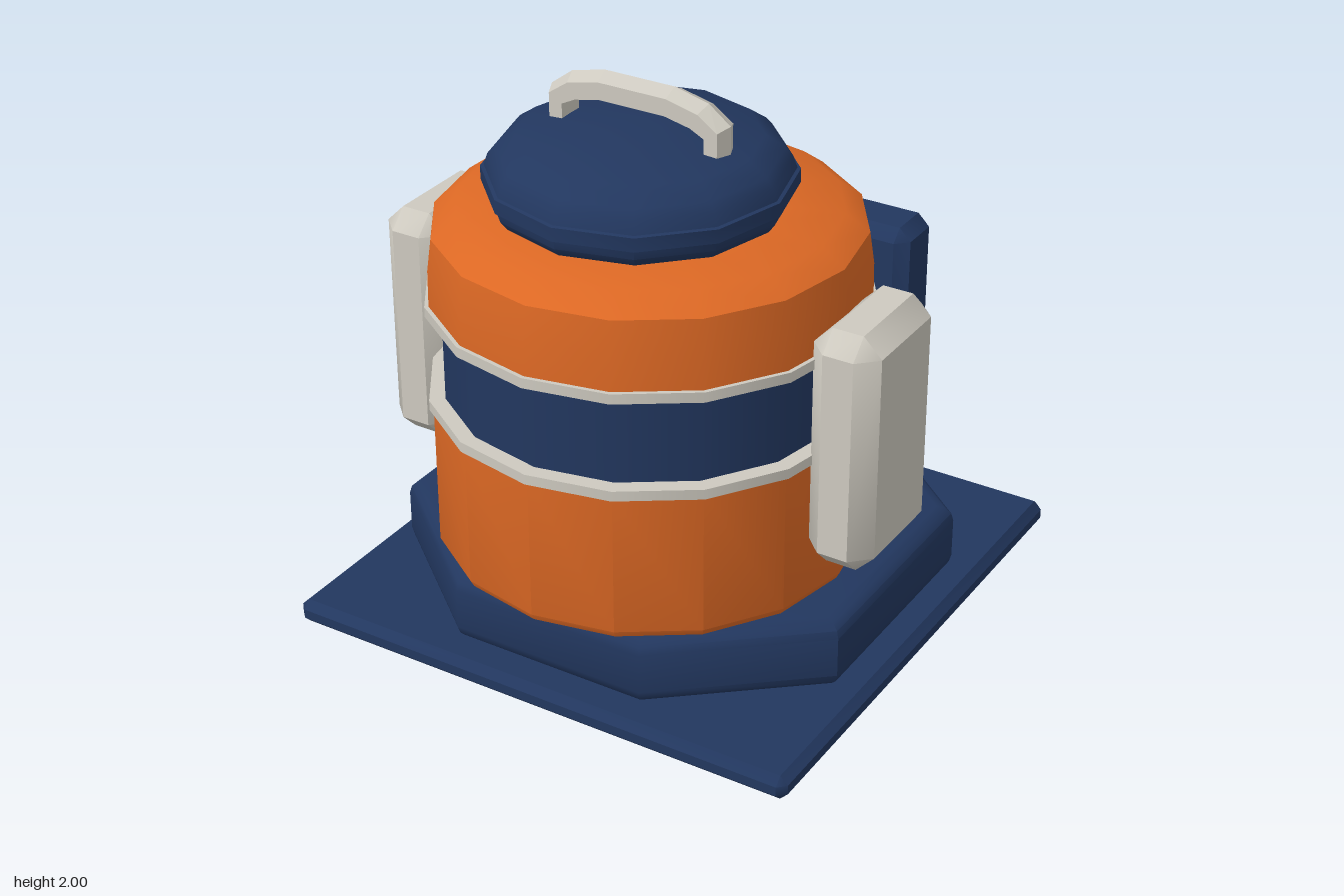
import * as THREE from 'three';
import { toCreasedNormals } from 'three/addons/utils/BufferGeometryUtils.js';
import { ConvexGeometry } from 'three/addons/geometries/ConvexGeometry.js';

const material = (name, color) => {
  const m = new THREE.MeshStandardMaterial({ color });
  m.name = name;
  return m;
};

// Box with one chamfer along every edge
function chamferBox(w, h, d, b) {
  const half = [w / 2, h / 2, d / 2];
  const points = [];
  for (let axis = 0; axis < 3; axis++)
    for (const sx of [-1, 1]) for (const sy of [-1, 1]) for (const sz of [-1, 1]) {
      const p = half.map((v, k) => (k === axis ? v : v - b));
      points.push(new THREE.Vector3(sx * p[0], sy * p[1], sz * p[2]));
    }
  return toCreasedNormals(new ConvexGeometry(points), 0.7);
}

// Turned part from [radius, height] pairs, bottom to top
function turned(profile, sides) {
  const points = profile.map(([r, y]) => new THREE.Vector2(r, y));
  return toCreasedNormals(new THREE.LatheGeometry(points, sides), 0.6);
}

// Arched grip swept between an outer and an inner path, with a ridged section
function gripGeometry() {
  const mirror = (half) => [...half, ...half.slice().reverse().map(([x, y]) => [-x, y])];
  const outer = mirror([[-0.335, 1.79], [-0.335, 1.91], [-0.255, 1.97], [-0.13, 2.0]]);
  const inner = mirror([[-0.265, 1.79], [-0.265, 1.87], [-0.215, 1.895], [-0.12, 1.915]]);
  const section = [[0, 0], [0.3, 0.05], [1, 0.05], [1, -0.05], [0.3, -0.05]];
  const rings = outer.map(([x, y], i) => section.map(([t, z]) => [
    x + (inner[i][0] - x) * t, y + (inner[i][1] - y) * t, z]));
  const pos = [];
  for (let i = 0; i < rings.length - 1; i++)
    for (let j = 0; j < section.length; j++) {
      const k = (j + 1) % section.length;
      const a = rings[i][j], b = rings[i + 1][j], c = rings[i + 1][k], d = rings[i][k];
      pos.push(...a, ...d, ...c, ...a, ...c, ...b);
    }
  const g = new THREE.BufferGeometry();
  g.setAttribute('position', new THREE.Float32BufferAttribute(pos, 3));
  g.computeVertexNormals();
  return g;
}

// Eight-sided plinth with rounded rims
function plinthGeometry() {
  const bevel = 0.055;
  const corners = [[0.865, -0.42], [0.865, 0.42], [0.36, 0.84], [-0.36, 0.84],
    [-0.865, 0.42], [-0.865, -0.42], [-0.36, -0.84], [0.36, -0.84]];
  const shape = new THREE.Shape(corners.map(([x, y]) => new THREE.Vector2(x, y)));
  const g = new THREE.ExtrudeGeometry(shape, {
    depth: 0.145, bevelThickness: bevel, bevelSize: bevel, bevelOffset: -bevel, bevelSegments: 3,
  });
  g.rotateX(-Math.PI / 2);
  return toCreasedNormals(g, 0.85);
}

export function createModel() {
  const model = new THREE.Group();
  const navy = material('navy', 0x22375f);
  const orange = material('orange', 0xdc6824);
  const grey = material('warm grey', 0xcdc9bf);

  const add = (name, geometry, mat, x, y, z) => {
    const mesh = new THREE.Mesh(geometry, mat);
    mesh.name = name;
    mesh.position.set(x, y, z);
    model.add(mesh);
    return mesh;
  };
  const bodyZ = 0.23, lidZ = 0.285;

  // Base
  add('groundPlate', chamferBox(1.93, 0.09, 1.94, 0.028), navy, 0, 0.045, 0.03);
  add('plinth', plinthGeometry(), navy, 0, 0.135, 0.05);
  add('backPanel', chamferBox(0.874, 1.09, 0.235, 0.045), navy, 0, 0.565, -0.8825);

  // Drum body
  add('lowerBody', turned([[0, 0.33], [0.725, 0.335], [0.738, 0.36], [0.738, 0.88], [0, 0.88]], 16),
    orange, 0, 0, bodyZ);
  add('bodyBand', new THREE.CylinderGeometry(0.697, 0.697, 0.36, 16), navy, 0, 1.06, bodyZ);
  add('upperBody', turned([[0, 1.235], [0.738, 1.235], [0.736, 1.38], [0.72, 1.49],
    [0.64, 1.55], [0.39, 1.565], [0, 1.57]], 16), orange, 0, 0, bodyZ);
  for (const [name, y] of [['lowerHoop', 0.883], ['upperHoop', 1.233]])
    add(name, new THREE.CylinderGeometry(0.752, 0.752, 0.036, 16), grey, 0, y, bodyZ);

  // Side pods
  for (const [name, side] of [['leftPod', 1], ['rightPod', -1]])
    add(name, chamferBox(0.24, 0.86, 0.465, 0.066), grey, side * 0.827, 0.945, bodyZ);

  // Lid and grip
  add('lid', turned([[0, 1.56], [0.44, 1.565], [0.475, 1.58], [0.497, 1.61], [0.502, 1.642],
    [0.515, 1.644], [0.515, 1.692], [0.503, 1.695], [0.49, 1.735], [0.465, 1.765],
    [0.4, 1.81], [0.07, 1.833], [0, 1.833]], 12), navy, 0, 0, lidZ);
  add('grip', gripGeometry(), grey, 0, 0, lidZ);

  return model;
}
